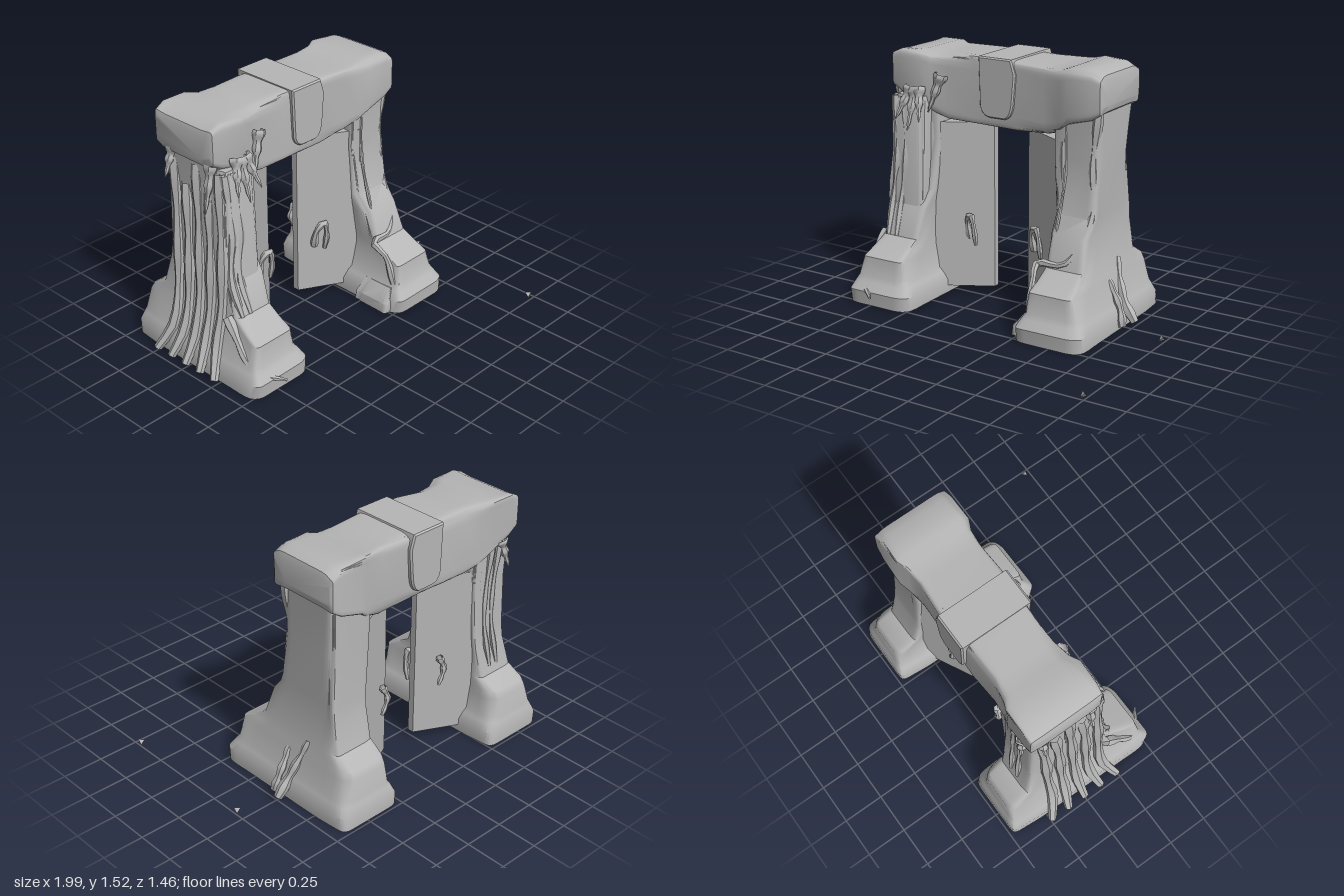
import * as THREE from 'three';
import { toCreasedNormals } from 'three/addons/utils/BufferGeometryUtils.js';

const CX = -0.115; // the gate is symmetric about this x
const CZ = -0.325; // middle of the lintel's depth

// Skin closed [x, z] rings stacked at the given heights, capped unless open
function loft(rings, ys, open = false) {
  const n = rings[0].length, pos = [], idx = [];
  rings.forEach((r, k) => r.forEach(([x, z]) => pos.push(x, ys[k], z)));
  for (let k = 0; k < rings.length - 1; k++) {
    for (let i = 0; i < n; i++) {
      const j = (i + 1) % n, a = k * n + i, a2 = k * n + j, b = a + n, b2 = a2 + n;
      idx.push(a, b, a2, b, b2, a2);
    }
  }
  const last = (rings.length - 1) * n;
  for (let i = 1; i < n - 1; i++) {
    idx.push(last, last + i + 1, last + i);
    if (!open) idx.push(0, i, i + 1);
  }
  const g = new THREE.BufferGeometry();
  g.setAttribute('position', new THREE.Float32BufferAttribute(pos, 3));
  g.setIndex(idx);
  return g;
}

// Rounded rectangle ring, slightly weathered
function ring(x0, x1, z0, z1, seed) {
  const pts = [], n = 36, soft = (v) => Math.sign(v) * Math.pow(Math.abs(v), 0.2);
  for (let i = 0; i < n; i++) {
    const t = ((i + 0.5) / n) * Math.PI * 2;
    const w = 0.005 * Math.sin(3 * t + seed * 7) + 0.003 * Math.sin(5 * t - seed * 11);
    pts.push([
      (x0 + x1) / 2 + soft(Math.cos(t)) * ((x1 - x0) / 2 + w),
      (z0 + z1) / 2 + soft(Math.sin(t)) * ((z1 - z0) / 2 + w),
    ]);
  }
  return pts;
}

// Loft from rows of [height, x0, x1, z0, z1]
const block = (rows) =>
  loft(rows.map(([y, ...box]) => ring(...box, y)), rows.map((r) => r[0]));

// Tapered root or vine following a curve
function vineGeometry(points, r0, r1) {
  const curve = new THREE.CatmullRomCurve3(points.map((p) => new THREE.Vector3(...p)));
  const segs = 14, sides = 6;
  const g = new THREE.TubeGeometry(curve, segs, 1, sides, false);
  const p = g.attributes.position, v = new THREE.Vector3();
  for (let i = 0; i < p.count; i++) {
    const t = Math.floor(i / (sides + 1)) / segs, c = curve.getPointAt(t);
    const r = (r0 + (r1 - r0) * t) * (1 + 0.2 * Math.sin(t * 17));
    v.fromBufferAttribute(p, i).sub(c).multiplyScalar(r).add(c);
    p.setXYZ(i, v.x, v.y, v.z);
  }
  return g;
}

export function createModel() {
  const model = new THREE.Group();
  const stone = new THREE.MeshStandardMaterial({ color: 0xb6b6b6, side: THREE.DoubleSide });
  stone.name = 'grey stone';

  const add = (name, geometry, crease = 0.6) => {
    const mesh = new THREE.Mesh(toCreasedNormals(geometry, crease), stone);
    mesh.name = name;
    model.add(mesh);
    return mesh;
  };
  const vine = (name, r0, r1, ...points) => add(name, vineGeometry(points, r0, r1), 1);

  // Pillars on spreading plinths, hollow underneath, rows measured from the gate's middle
  const pillar = [
    [0.3, 0.47, 0.7, -0.62, 0.14], [0.02, 0.43, 0.755, -0.67, 0.22],
    [0.015, 0.375, 0.81, -0.73, 0.28], [0.1, 0.375, 0.81, -0.73, 0.285],
    [0.15, 0.4, 0.785, -0.715, 0.25], [0.18, 0.42, 0.77, -0.705, 0.23],
    [0.3, 0.435, 0.735, -0.7, 0.215],
    [0.34, 0.44, 0.725, -0.68, 0.14], [0.4, 0.44, 0.71, -0.58, 0.04],
    [0.58, 0.43, 0.69, -0.54, -0.02], [0.68, 0.42, 0.69, -0.53, -0.1],
    [1, 0.4, 0.68, -0.52, -0.13], [1.32, 0.395, 0.69, -0.53, -0.12],
  ];
  // Wedge shaped jambs running from the pillar corners toward the opening
  const wedge = [[0.6, -0.2], [0.46, -0.12], [0.12, -0.31], [0.12, -0.35], [0.46, -0.525], [0.6, -0.45]];
  for (const side of [1, -1]) {
    const label = side > 0 ? 'left' : 'right';
    const rows = pillar.map(([y, u0, u1, z0, z1]) =>
      [y, Math.min(u0 * side, u1 * side), Math.max(u0 * side, u1 * side), z0, z1]);
    add(label + 'Pillar', block(rows)).position.x = CX;
    const foot = side > 0 ? wedge : wedge.map(([x, z]) => [-x, z]).reverse();
    add(label + 'Jamb', loft([foot, foot], [0.06, 1.1], true)).position.x = CX;
  }

  // Column standing proud of the right pillar, and a bulge on the left foot
  add('frontColumn', block([
    [0.4, -0.82, -0.56, -0.3, 0.02], [0.6, -0.81, -0.57, -0.3, -0.03],
    [1.18, -0.8, -0.57, -0.3, -0.045], [1.26, -0.78, -0.58, -0.3, -0.07],
  ]));
  add('footBulge', block([
    [0.02, 0.22, 0.4, -0.04, 0.22], [0.08, 0.225, 0.4, -0.03, 0.22], [0.16, 0.29, 0.4, 0, 0.19],
  ]));

  // Lintel with swollen ends: half of it as [distance, bottom, top, half depth]
  const half = [
    [0.15, 1.12, 1.53, 0.2], [0.33, 1.12, 1.52, 0.195], [0.44, 1.15, 1.52, 0.21],
    [0.5, 1.2, 1.535, 0.235], [0.65, 1.25, 1.53, 0.235], [0.71, 1.29, 1.5, 0.23], [0.72, 1.33, 1.47, 0.215],
  ];
  const section = (s) => ([u, y0, y1, d]) => [u * s, -y1, -y0, CZ - d, CZ + d];
  const beam = block([...half.map(section(-1)).reverse(), ...half.map(section(1))]);
  add('lintel', beam.rotateZ(-Math.PI / 2)).position.x = CX;

  // Keystone wrapping the middle of the lintel
  const key = new THREE.Shape();
  key.moveTo(-0.21, 1.53);
  key.lineTo(-0.2, 1.25);
  key.quadraticCurveTo(-0.19, 1.19, -0.13, 1.19);
  key.lineTo(-0.04, 1.19);
  key.quadraticCurveTo(0, 1.2, 0.01, 1.28);
  key.lineTo(0.025, 1.45);
  key.lineTo(0, 1.53);
  const keystone = new THREE.ExtrudeGeometry(key, { depth: 0.43, bevelSize: 0.008, bevelThickness: 0.01, bevelSegments: 1 });
  add('keystone', keystone.translate(0, 0, -0.545));

  // Roots draped down the outer face of the right pillar, fanning out at the ground
  for (let i = 0; i < 5; i++) {
    const z = -0.46 + i * 0.09, out = z + (i - 2) * 0.03 + 0.03;
    vine('outerRoot', 0.035, 0.03, [-0.78, 1.25 - 0.15 * (i % 2), z], [-0.8, 0.85, z + 0.02],
      [-0.83, 0.45, z + 0.03], [-0.88, 0.2, z + 0.03], [-0.97, 0.04, out]);
  }
  vine('frontRoot', 0.03, 0.01, [-0.84, 0.4, -0.02], [-0.85, 0.15, 0.2], [-0.72, 0.08, 0.32]);
  // Vines on the front and back of the right pillar
  for (let i = 0; i < 2; i++) {
    const x = -0.78 + i * 0.06;
    vine('frontVine', 0.028, 0.02, [x, 1.25, -0.07], [x + 0.02, 0.9, -0.05], [x - 0.01, 0.6, -0.03], [x, 0.4, 0.04]);
    vine('backVine', 0.022, 0.016, [x + 0.07, 1.25, -0.53], [x + 0.1, 0.8, -0.52], [x + 0.07, 0.45, -0.56]);
  }
  // Roots, vine and ridge on the left pillar
  vine('sideRoot', 0.02, 0.03, [0.59, 0.4, -0.35], [0.62, 0.3, -0.32], [0.69, 0.15, -0.28], [0.76, 0.05, -0.27]);
  vine('sideRoot', 0.02, 0.025, [0.61, 0.3, -0.21], [0.69, 0.15, -0.21], [0.72, 0.04, -0.19]);
  vine('footVine', 0.02, 0.02, [0.32, 0.18, 0.19], [0.31, 0.35, 0.13], [0.29, 0.42, 0.05], [0.45, 0.43, 0.03], [0.55, 0.58, -0.06]);
  vine('cornerVine', 0.03, 0.02, [0.56, 1.3, -0.15], [0.53, 1, -0.15], [0.55, 0.7, -0.12], [0.52, 0.5, -0.02]);
  vine('pillarRidge', 0.01, 0.01, [0.36, 1.23, -0.13], [0.365, 0.9, -0.12], [0.36, 0.57, -0.03]);

  // Curled vines on both faces of each jamb
  for (const side of [1, -1]) {
    const x = CX + side * 0.23;
    vine('jambVine', 0.022, 0.014, [x - 0.03, 0.37, -0.25], [x - 0.03, 0.49, -0.22], [x + 0.01, 0.53, -0.2],
      [x + 0.03, 0.45, -0.2], [x + 0.03, 0.34, -0.22]);
    vine('jambBackVine', 0.022, 0.012, [x, 0.58, -0.44], [x - 0.03, 0.5, -0.45], [x + 0.01, 0.4, -0.45]);
  }

  // Hanging leaf tufts under the right end of the lintel
  const tuft = (from, to) => vine('leafTuft', 0.04, 0.004, from, to);
  for (let i = 0; i < 3; i++) {
    tuft([-0.68 + i * 0.03, 1.31, -0.08], [-0.74 + i * 0.085, 1.12 - 0.06 * (i % 2), 0]);
  }
  tuft([-0.79, 1.3, -0.15], [-0.85, 1.01, -0.15]);
  tuft([-0.79, 1.3, -0.46], [-0.85, 1.12, -0.47]);
  tuft([-0.72, 1.25, -0.53], [-0.76, 1.08, -0.57]);
  tuft([-0.48, 1.4, -0.11], [-0.55, 1.17, -0.07]);

  // Two loose chips on the ground
  for (const z of [-0.18, 0.715]) {
    add('stoneChip', new THREE.TetrahedronGeometry(0.024), 0.1).position.set(0.98, 0.03, z);
  }
  return model;
}
